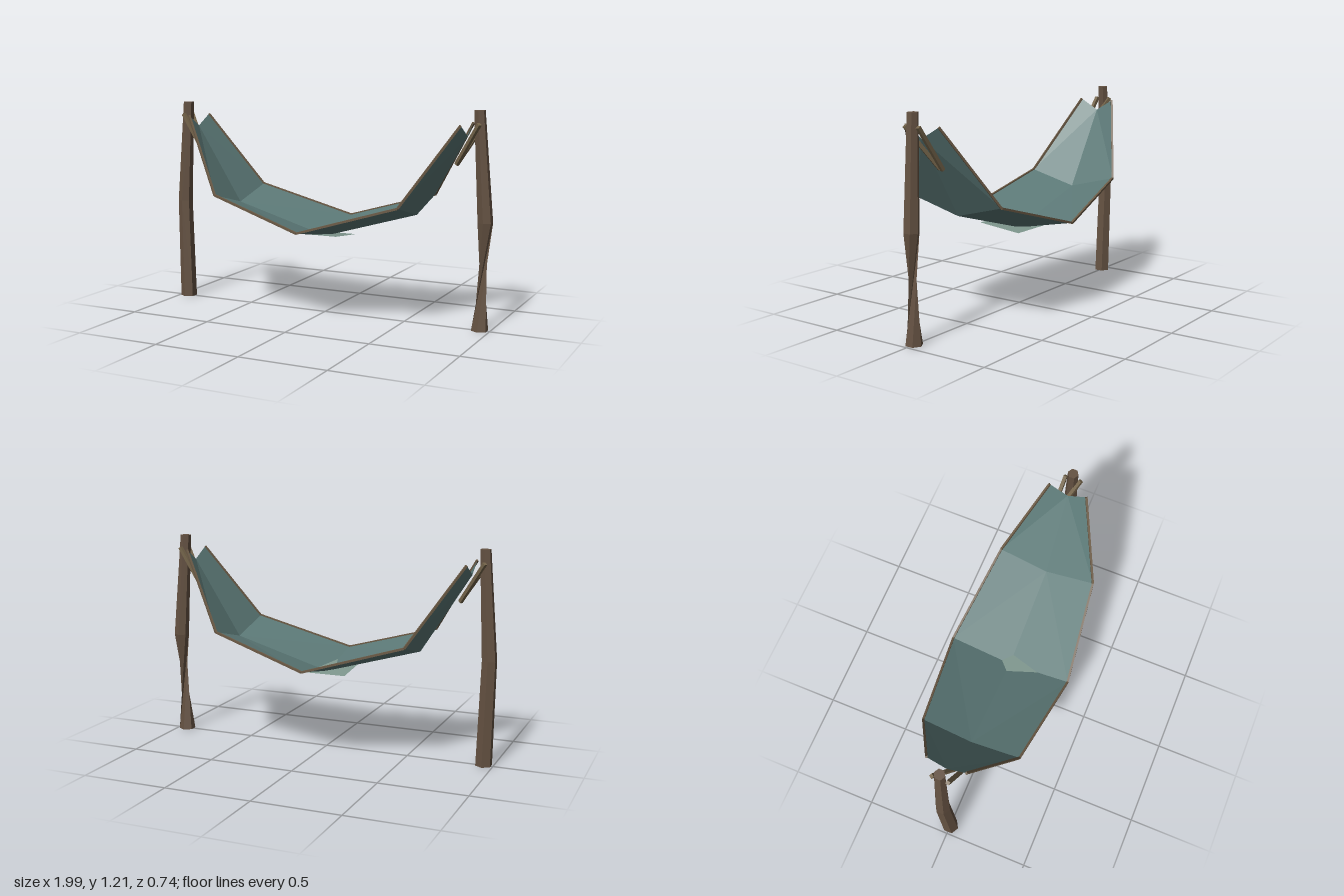
import * as THREE from 'three';

const mat = (color, side = THREE.FrontSide) =>
  new THREE.MeshStandardMaterial({ color, side, flatShading: true });

function facets(points) {
  const g = new THREE.BufferGeometry().setFromPoints(points);
  g.computeVertexNormals();
  return g;
}

// Square bar running from a to b
function bar(a, b, width, material, name) {
  const dir = b.clone().sub(a);
  const mesh = new THREE.Mesh(new THREE.BoxGeometry(width, width, dir.length()), material);
  mesh.position.copy(a).add(b).multiplyScalar(0.5);
  mesh.lookAt(b);
  mesh.name = name;
  return mesh;
}

// Crooked hexagonal post through rings of [x, y, z, radius, twist]
function post(rings, material, name) {
  const n = 6;
  const at = ([x, y, z, r, twist], i) => {
    const a = ((i + 0.5) / n) * Math.PI * 2 + twist;
    return new THREE.Vector3(x + r * Math.cos(a), y, z - r * Math.sin(a));
  };
  const mid = ([x, y, z]) => new THREE.Vector3(x, y, z);
  const low = rings[0], high = rings[rings.length - 1];
  const pts = [];
  for (let i = 0; i < n; i++) {
    for (let k = 0; k < rings.length - 1; k++) {
      const a = at(rings[k], i), b = at(rings[k], i + 1);
      const c = at(rings[k + 1], i + 1), d = at(rings[k + 1], i);
      pts.push(a, b, c, a, c, d);
    }
    pts.push(mid(low), at(low, i + 1), at(low, i));
    pts.push(mid(high), at(high, i), at(high, i + 1));
  }
  // Double sided because the twisted facets fold close to each other
  const mesh = new THREE.Mesh(facets(pts), material);
  mesh.name = name;
  return mesh;
}

export function createModel() {
  const model = new THREE.Group();
  model.name = 'hammock';
  const wood = mat(0x655242, THREE.DoubleSide);
  const strapMat = mat(0x74644a);
  const trimMat = mat(0x6b5a45);
  const cloth = mat(0x5c7977, THREE.DoubleSide);
  const patchMat = mat(0x7f978e, THREE.DoubleSide);
  const V = (x, y, z) => new THREE.Vector3(x, y, z);

  // Cloth cross-sections: edge x, edge y, half width, centre x, centre y
  const sections = [
    [0, 0.525, 0.362, 0, 0.453],
    [0.567, 0.692, 0.29, 0.567, 0.617],
    [0.848, 1.13, 0.11, 0.852, 1.065],
  ];
  const pts = [];
  const trim = new THREE.Group();
  trim.name = 'edgeTrim';
  for (const sx of [-1, 1]) {
    for (const sz of [-1, 1]) {
      for (let k = 0; k < 2; k++) {
        const [s, t] = [sections[k], sections[k + 1]];
        const e0 = V(sx * s[0], s[1], sz * s[2]), c0 = V(sx * s[3], s[4], 0);
        const e1 = V(sx * t[0], t[1], sz * t[2]), c1 = V(sx * t[3], t[4], 0);
        pts.push(c0, c1, e0, e0, c1, e1);
        trim.add(bar(e0, e1, 0.012, trimMat, 'trimStrip'));
      }
    }
  }
  const sheet = new THREE.Mesh(facets(pts), cloth);
  sheet.name = 'clothSheet';
  model.add(sheet, trim);

  // Tilted patch poking through the lowest part of the cloth
  const p = [V(-0.15, 0.487, 0.17), V(0.15, 0.487, 0.17), V(0.15, 0.458, -0.1), V(-0.15, 0.458, -0.1)];
  const patch = new THREE.Mesh(facets([p[0], p[1], p[2], p[0], p[2], p[3]]), patchMat);
  patch.name = 'patch';
  model.add(patch);

  // Posts
  model.add(post([
    [0.943, 0, -0.002, 0.048, -Math.PI * 2 / 3],
    [0.958, 0.6, -0.012, 0.043, 0],
    [0.917, 1.207, 0, 0.031, 0],
  ], wood, 'leftPost'));
  model.add(post([
    [-0.947, 0, 0.002, 0.048, Math.PI / 3],
    [-0.962, 0.6, -0.004, 0.043, 0],
    [-0.921, 1.207, 0, 0.031, 0],
  ], wood, 'rightPost'));

  // Two straps tie each end of the cloth to its post
  for (const s of [-1, 1]) {
    const straps = new THREE.Group();
    straps.name = s > 0 ? 'leftStraps' : 'rightStraps';
    straps.add(
      bar(V(s * 0.93, 1.135, -s * 0.045), V(s * 0.77, 0.9, -s * 0.068), 0.02, strapMat, 'strap'),
      bar(V(s * 0.93, 1.135, s * 0.045), V(s * 0.775, 0.905, -s * 0.052), 0.02, strapMat, 'strap'),
    );
    model.add(straps);
  }
  return model;
}
